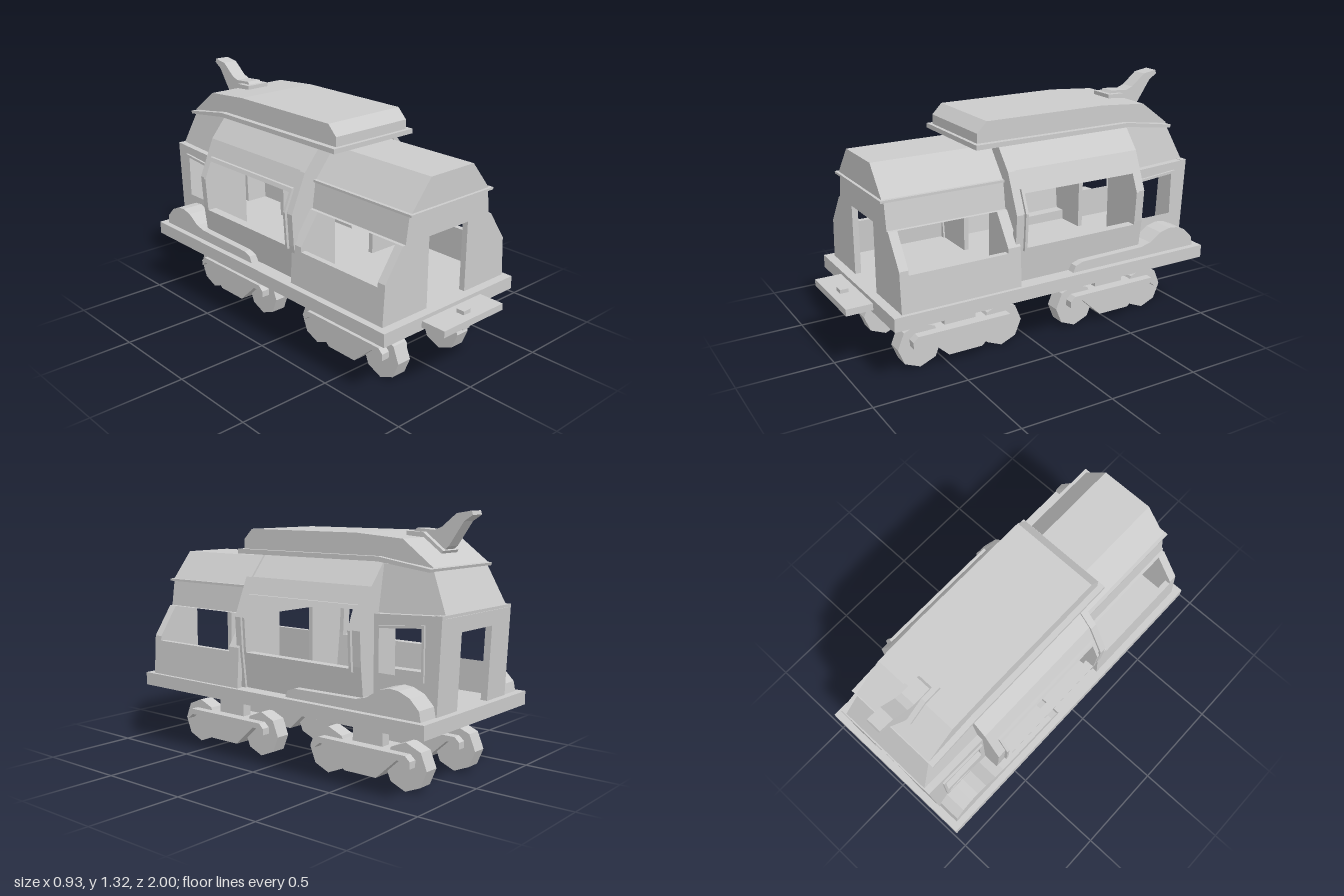
import * as THREE from 'three';

const mat = new THREE.MeshStandardMaterial({ color: 0xcccccc, flatShading: true });

function add(parent, name, geo) {
  const m = new THREE.Mesh(geo, mat);
  m.name = name;
  parent.add(m);
  return m;
}

function toShape(pts, hole) {
  const s = new THREE.Shape(pts.map(p => new THREE.Vector2(p[0], p[1])));
  if (hole) s.holes.push(new THREE.Path(hole.map(p => new THREE.Vector2(p[0], p[1]))));
  return s;
}

// Extrudes an (x, y) outline from z0 to z1
function extrudeZ(pts, z0, z1, hole) {
  return new THREE.ExtrudeGeometry(toShape(pts, hole), { depth: z1 - z0, bevelEnabled: false }).translate(0, 0, z0);
}

// Extrudes a (z, y) outline from x0 to x1
function extrudeX(pts, x0, x1, hole) {
  return new THREE.ExtrudeGeometry(toShape(pts, hole), { depth: x1 - x0, bevelEnabled: false })
    .rotateY(-Math.PI / 2).translate(x1, 0, 0);
}

function box(x0, x1, y0, y1, z0, z1) {
  return new THREE.BoxGeometry(x1 - x0, y1 - y0, z1 - z0)
    .translate((x0 + x1) / 2, (y0 + y1) / 2, (z0 + z1) / 2);
}

// Part of a rising profile between two heights
function clip(profile, y0, y1) {
  const out = [];
  for (let i = 0; i < profile.length - 1; i++) {
    const [a, b] = [profile[i], profile[i + 1]];
    const at = y => [a[0] + (b[0] - a[0]) * (y - a[1]) / (b[1] - a[1]), y];
    if (a[1] >= y0 && a[1] <= y1) out.push(a);
    for (const y of [y0, y1]) if (y > a[1] && y < b[1]) out.push(at(y));
  }
  const last = profile[profile.length - 1];
  if (last[1] <= y1) out.push(last);
  return out;
}

// Both side walls following a profile, with an optional window {y0, y1, z0, z1}
function sideWalls(parent, name, profile, t, z0, z1, win) {
  const top = profile[profile.length - 1][1], bottom = profile[0][1];
  const bands = win
    ? [[bottom, win.y0, z0, z1], [win.y1, top, z0, z1], [win.y0, win.y1, z0, win.z0], [win.y0, win.y1, win.z1, z1]]
    : [[bottom, top, z0, z1]];
  for (const s of [1, -1]) {
    for (const [ya, yb, za, zb] of bands) {
      const outer = clip(profile, ya, yb);
      const inner = outer.map(p => [p[0] - t, p[1]]).reverse();
      add(parent, name, extrudeZ([...outer, ...inner].map(p => [p[0] * s, p[1]]), za, zb));
    }
  }
}

const mirrored = half => [...half, ...half.map(p => [-p[0], p[1]]).reverse()];
const push = (profile, d) => profile.map(p => [p[0] + d, p[1]]);

// End wall with a doorway open to the floor
function endWall(parent, name, profile, z0, z1) {
  const pts = [[0.137, 0.77], [0.137, 0.4], ...profile];
  add(parent, name, extrudeZ(mirrored(pts), z0, z1));
}

function undercarriage(g) {
  add(g, 'platform', box(-0.463, 0.463, 0.33, 0.4, -1, 0.86));
  add(g, 'couplerPlate', box(-0.213, 0.213, 0.345, 0.38, 0.84, 1));
  add(g, 'couplerPin', box(-0.025, 0.025, 0.3, 0.4, 0.91, 0.955));

  // Half of the truck frame, hooked over the axle
  const half = [[0.095, 0.05], [0.215, 0.16], [0.255, 0.16], [0.29, 0.13], [0.29, 0.165], [0.262, 0.19]];
  for (const z of [0.405, -0.53]) {
    for (const x of [0.217, -0.217]) {
      const truck = new THREE.Group();
      truck.name = 'truck';
      truck.position.set(x, 0, z);
      add(truck, 'truckFrame', extrudeX(mirrored(half), -0.087, 0.087));
      add(truck, 'truckPost', box(-0.028, 0.028, 0.18, 0.34, -0.09, 0.09));
      for (const dz of [0.235, -0.235]) {
        add(truck, 'wheel', new THREE.CylinderGeometry(0.12, 0.12, 0.082, 8).rotateZ(Math.PI / 2).translate(0, 0.12, dz));
      }
      g.add(truck);
    }
  }
}

function frontCabin(g) {
  const cabin = new THREE.Group();
  cabin.name = 'frontCabin';
  cabin.position.x = 0.008;
  const profile = [[0.435, 0.4], [0.422, 0.61], [0.312, 0.769], [0.295, 0.77], [0.275, 0.91]];
  sideWalls(cabin, 'frontSideWall', profile, 0.03, 0.16, 0.79, { y0: 0.585, y1: 0.769, z0: 0.23, z1: 0.765 });
  endWall(cabin, 'frontWall', profile, 0.78, 0.812);
  add(cabin, 'frontRoof', extrudeZ(mirrored([[0.275, 0.91], [0.147, 1.065]]), 0.16, 0.82));
  add(cabin, 'frontRoofLip', box(-0.287, 0.287, 0.905, 0.917, 0.16, 0.835));
  g.add(cabin);
}

function middleCabin(g) {
  const cabin = new THREE.Group();
  cabin.name = 'middleCabin';
  const profile = [[0.385, 0.4], [0.408, 0.6], [0.418, 0.77], [0.332, 0.97], [0.235, 1.085]];
  const win = { y0: 0.59, y1: 0.865, z0: -0.55, z1: 0.115 };
  sideWalls(cabin, 'middleSideWall', profile, 0.03, -0.61, 0.17, win);
  endWall(cabin, 'bulkhead', profile, 0.145, 0.172);
  endWall(cabin, 'bulkhead', profile, -0.612, -0.585);
  sideWalls(cabin, 'archRib', push(profile, 0.013), 0.03, 0.145, 0.182);
  sideWalls(cabin, 'middleWindowFrame', push(clip(profile, 0.572, 0.885), 0.015), 0.05, -0.565, 0.13, win);
  g.add(cabin);
}

function rearCabin(g) {
  const cabin = new THREE.Group();
  cabin.name = 'rearCabin';
  const wall = [[-0.6, 0.4], [-0.965, 0.4], [-0.985, 0.86], [-0.6, 0.842]];
  const pane = [[-0.64, 0.565], [-0.885, 0.565], [-0.885, 0.798], [-0.64, 0.778]];
  const frame = [[-0.626, 0.55], [-0.898, 0.55], [-0.898, 0.813], [-0.626, 0.79]];
  // Narrow fender sweeping forward from the rear corner
  const fender = [[-0.96, 0.4], [-0.95, 0.45], [-0.9, 0.5], [-0.84, 0.525], [-0.79, 0.53], [-0.73, 0.515],
    [-0.66, 0.47], [-0.6, 0.455], [-0.22, 0.45], [-0.175, 0.435], [-0.16, 0.4]];
  for (const s of [1, -1]) {
    const span = (a, b) => (s > 0 ? [a, b] : [-b, -a]);
    add(cabin, 'rearSideWall', extrudeX(wall, ...span(0.27, 0.31), pane));
    add(cabin, 'rearWindowFrame', extrudeX(frame, ...span(0.265, 0.322), pane));
    add(cabin, 'fender', extrudeX(fender, ...span(0.3, 0.43)));
    add(cabin, 'rearWall', extrudeX([[-0.965, 0.4], [-0.985, 0.86], [-0.95, 0.86], [-0.93, 0.4]], ...span(0.137, 0.31)));
  }
  add(cabin, 'rearLintel', extrudeX([[-0.981, 0.77], [-0.985, 0.86], [-0.95, 0.86], [-0.946, 0.77]], -0.14, 0.14));

  // Upper part leans in at the back and sides
  const upper = box(-0.275, 0.275, 0.845, 1.07, -0.985, -0.6);
  const p = upper.attributes.position;
  for (let i = 0; i < p.count; i++) {
    if (p.getY(i) < 1) continue;
    p.setX(i, Math.sign(p.getX(i)) * 0.235);
    if (p.getZ(i) < -0.9) p.setZ(i, -0.88);
  }
  add(cabin, 'rearUpper', upper);
  g.add(cabin);
}

function roof(g) {
  add(g, 'eave', extrudeX([[0.315, 1.08], [0.315, 1.105], [-0.6, 1.105], [-0.895, 1.06], [-0.89, 1.045], [-0.6, 1.082]], -0.272, 0.272));
  add(g, 'mainRoof', extrudeX([[0.295, 1.1], [0.295, 1.155], [0.24, 1.21], [-0.45, 1.21], [-0.72, 1.19], [-0.89, 1.065], [-0.6, 1.1]], -0.242, 0.242));
  add(g, 'hornBase', extrudeX([[-0.62, 1.19], [-0.62, 1.218], [-0.715, 1.215], [-0.828, 1.13], [-0.815, 1.11], [-0.71, 1.185]], -0.068, 0.068));
  add(g, 'horn', extrudeX([[-0.63, 1.2], [-0.66, 1.232], [-0.76, 1.225], [-0.8, 1.24], [-0.88, 1.305], [-0.96, 1.318],
    [-0.966, 1.298], [-0.92, 1.268], [-0.84, 1.15], [-0.815, 1.13], [-0.72, 1.18]], -0.041, 0.041));
}

export function createModel() {
  const g = new THREE.Group();
  g.name = 'railCar';
  undercarriage(g);
  frontCabin(g);
  middleCabin(g);
  rearCabin(g);
  roof(g);
  return g;
}
